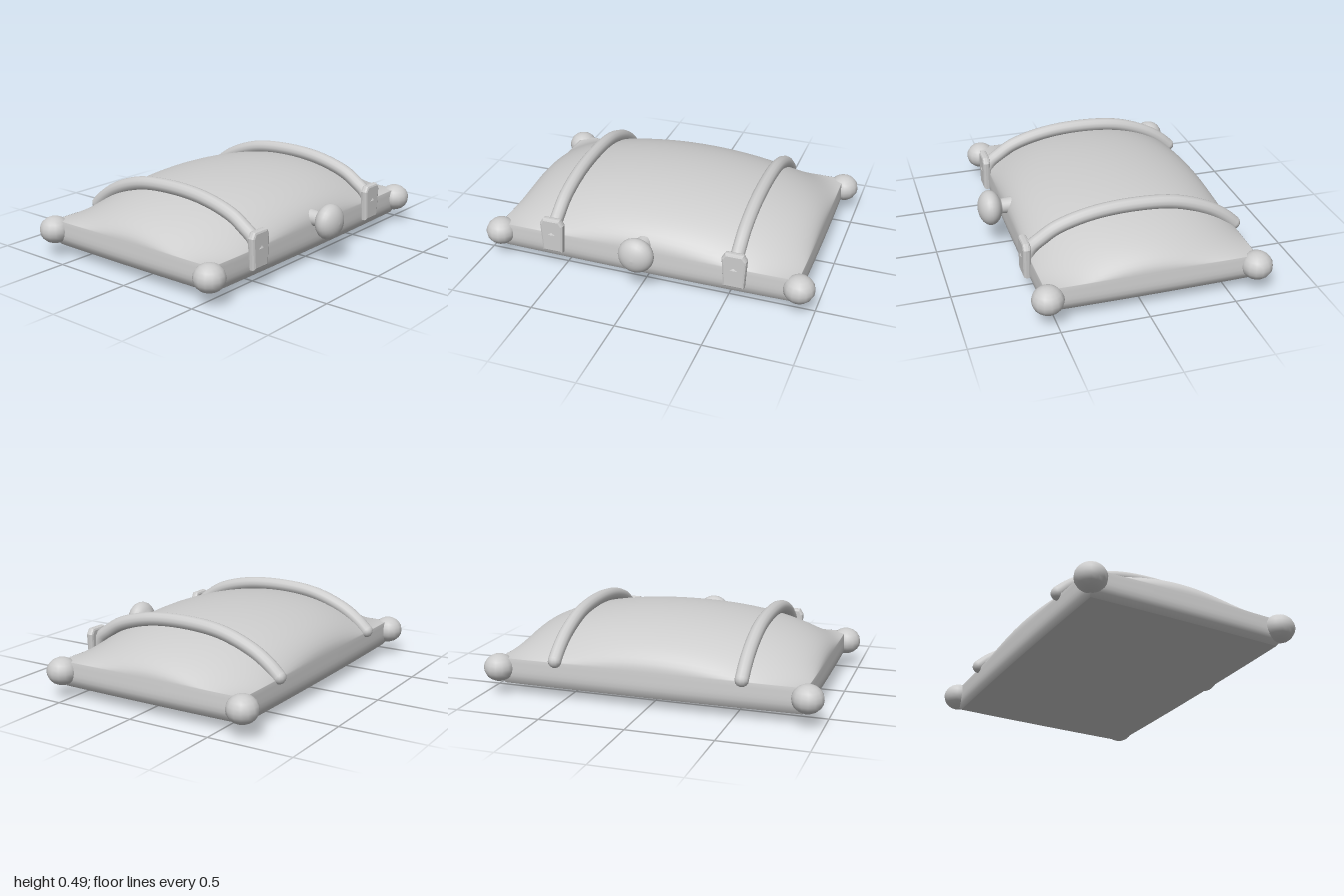
import * as THREE from 'three';
import { mergeVertices } from 'three/addons/utils/BufferGeometryUtils.js';

const CENTRE_Z = -0.05;

// Pillow: a finely divided box, moved by rule into a domed top, soft wall and sagging base
function cushionGeometry() {
  let geo = new THREE.BoxGeometry(2, 2, 2, 44, 6, 32);
  geo.deleteAttribute('normal');
  geo.deleteAttribute('uv');
  geo = mergeVertices(geo, 1e-4);
  const pos = geo.attributes.position;
  const ease = (t) => Math.sin((t * Math.PI) / 2); // packs rows towards the rim
  for (let i = 0; i < pos.count; i++) {
    const u = ease(pos.getX(i));
    const v = ease(pos.getZ(i));
    const t = pos.getY(i);
    const a = Math.max(0, 1 - u * u);
    const b = Math.max(0, 1 - v * v);
    let y = 0.145 + t * 0.075;
    if (t > 0.999) {
      // full in the middle, pinched towards the corners
      y += 0.25 * Math.pow(a * b, 0.5 + 0.75 * u * u * v * v);
    } else if (t < -0.999) {
      y = 0.067 - 0.062 * Math.pow(a * b, 1.4);
    }
    // wall tucks in at the lower edge
    const side = 1 - 0.035 * Math.pow(Math.max(0, -t), 3) - 0.008 * Math.max(0, t);
    pos.setXYZ(
      i,
      u * side * (0.912 + 0.006 * b),
      y,
      CENTRE_Z + v * side * (0.612 + 0.01 * a)
    );
  }
  geo.computeVertexNormals();
  return geo;
}

// Buckle plate: tapered, bevelled slab
function buckleGeometry() {
  const s = new THREE.Shape();
  s.moveTo(-0.05, -0.095);
  s.lineTo(0.05, -0.095);
  s.lineTo(0.06, 0.07);
  s.lineTo(0.045, 0.095);
  s.lineTo(-0.045, 0.095);
  s.lineTo(-0.06, 0.07);
  s.closePath();
  return new THREE.ExtrudeGeometry(s, {
    depth: 0.015, bevelEnabled: true, bevelThickness: 0.015, bevelSize: 0.013, bevelSegments: 2,
  });
}

export function createModel() {
  const model = new THREE.Group();
  const grey = new THREE.MeshStandardMaterial({ color: 0xcccccc });
  grey.name = 'light grey';

  const add = (name, geometry, x = 0, y = 0, z = 0) => {
    const mesh = new THREE.Mesh(geometry, grey);
    mesh.name = name;
    mesh.position.set(x, y, z);
    model.add(mesh);
    return mesh;
  };

  add('cushion', cushionGeometry());

  // Corner balls
  const ball = new THREE.SphereGeometry(0.09, 14, 10);
  for (const x of [-0.91, 0.91]) {
    for (const z of [-0.655, 0.545]) {
      add('cornerBall', ball, x, 0.162, z).scale.y = 0.9;
    }
  }

  // Straps arching over the cushion, each with a buckle in front
  const path = new THREE.CatmullRomCurve3(
    [
      [0.22, 0.575], [0.28, 0.545], [0.322, 0.49], [0.378, 0.4], [0.435, 0.2], [0.453, -0.05],
      [0.43, -0.3], [0.358, -0.5], [0.29, -0.605], [0.235, -0.665],
    ].map(([y, z]) => new THREE.Vector3(0, y, z))
  );
  const strap = new THREE.TubeGeometry(path, 48, 0.04, 12);
  const strapEnd = new THREE.SphereGeometry(0.04, 12, 8);
  const buckle = buckleGeometry();
  for (const x of [-0.55, 0.55]) {
    add('strap', strap, x);
    add('strapEnd', strapEnd, x, 0.235, -0.665);
    add('buckle', buckle, x, 0.228, 0.575);
  }

  // Front knob: narrow neck and flattened round head
  const profile = [new THREE.Vector2(0.05, -0.13), new THREE.Vector2(0.044, -0.07)];
  for (let i = 0; i <= 12; i++) {
    const a = -1.1 + (i / 12) * (1.1 + Math.PI / 2);
    profile.push(new THREE.Vector2(Math.max(0, 0.105 * Math.cos(a)), 0.072 * Math.sin(a)));
  }
  const knob = add('knob', new THREE.LatheGeometry(profile, 24), 0, 0.255, 0.664);
  knob.rotation.x = Math.PI / 2;

  return model;
}
